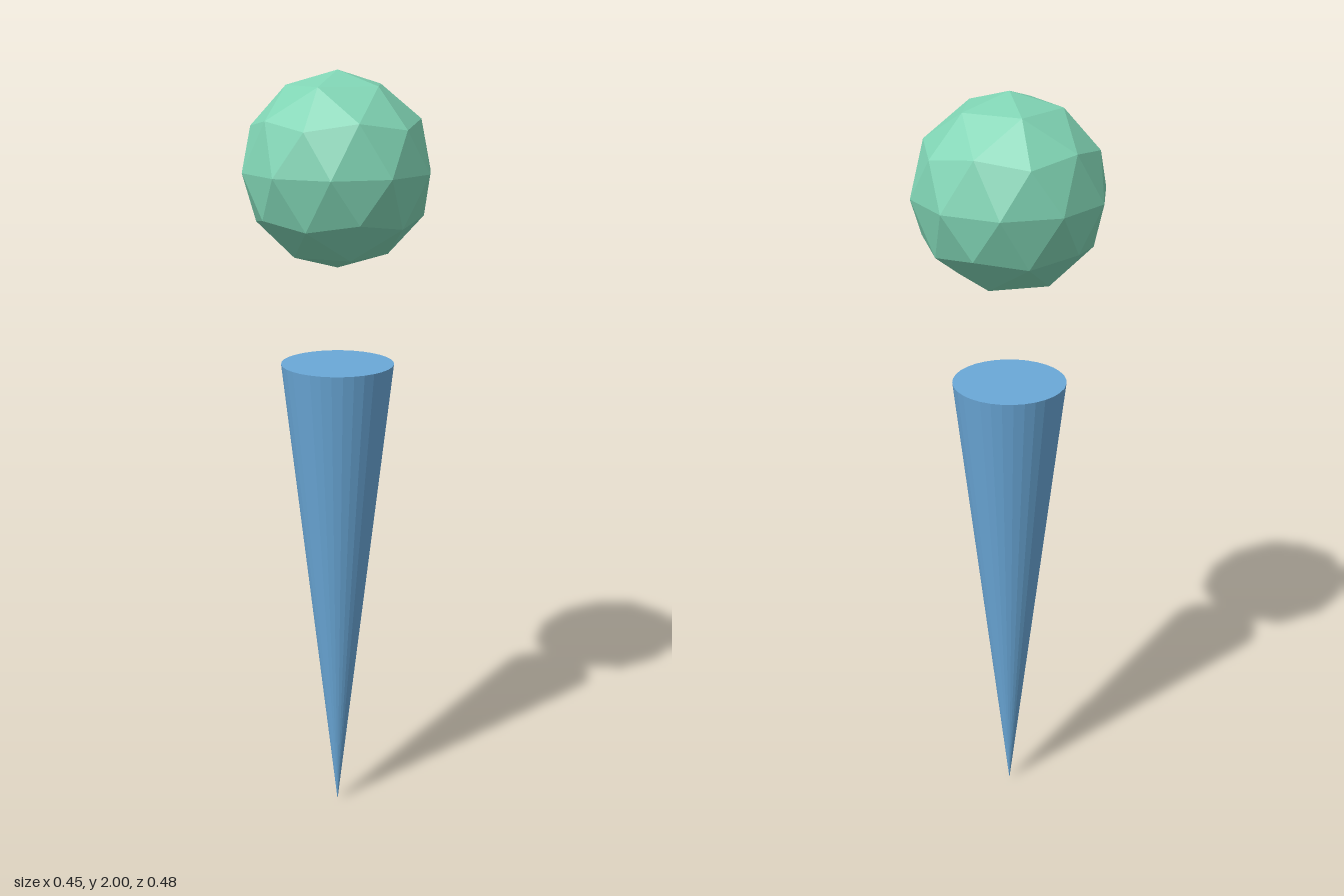
import * as THREE from 'three';

const paint = (color) => new THREE.MeshStandardMaterial({ color, flatShading: true });

export function createModel() {
  const model = new THREE.Group();
  model.name = 'mapPin';

  // Faceted ball, turned so that one corner points straight up
  const ballRadius = 0.239;
  const ballGeometry = new THREE.IcosahedronGeometry(ballRadius, 1);
  ballGeometry.rotateZ(-Math.atan(2 / (1 + Math.sqrt(5))));
  const ball = new THREE.Mesh(ballGeometry, paint(0x80d4b4));
  ball.name = 'ball';
  ball.position.y = 2 - ballRadius;
  model.add(ball);

  // Slim closed cone standing on its tip
  const coneHeight = 1.275;
  const coneGeometry = new THREE.ConeGeometry(0.145, coneHeight, 32);
  coneGeometry.rotateX(Math.PI);
  const cone = new THREE.Mesh(coneGeometry, paint(0x6aa8d8));
  cone.name = 'cone';
  cone.position.y = coneHeight / 2;
  model.add(cone);

  return model;
}
